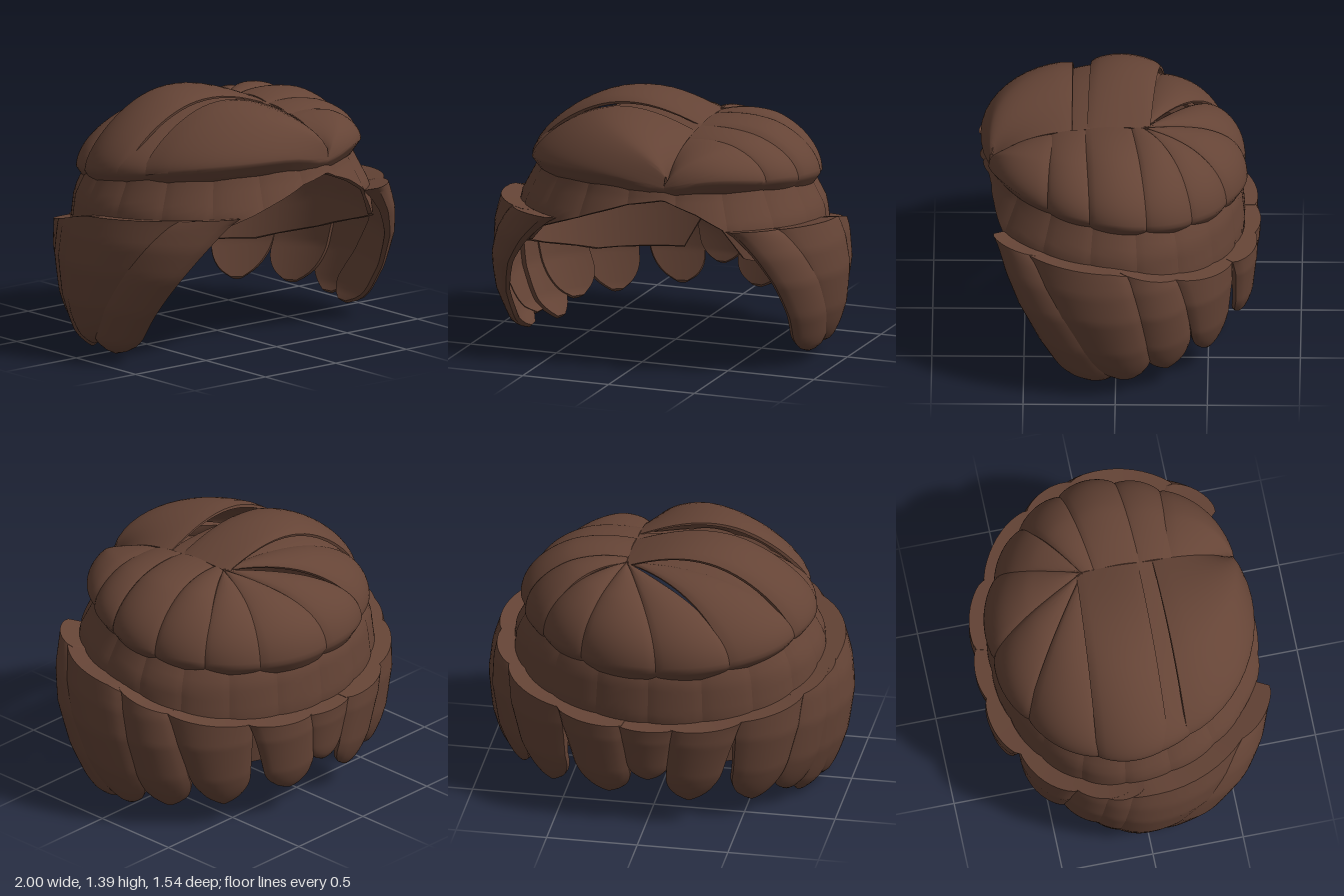
import * as THREE from 'three';
import { toCreasedNormals } from 'three/addons/utils/BufferGeometryUtils.js';

const { lerp } = THREE.MathUtils;
const RAD = Math.PI / 180;

// Linear interpolation through a short list of [key, value] pairs, keys rising
function table(list, k) {
  if (k <= list[0][0]) return list[0][1];
  for (let i = 1; i < list.length; i++) {
    const [k0, v0] = list[i - 1], [k1, v1] = list[i];
    if (k <= k1) return lerp(v0, v1, (k - k0) / (k1 - k0));
  }
  return list[list.length - 1][1];
}

// Point on an oval ring; azimuth in degrees, 0 = front, 90 = left side
function ring(deg, y, rx, front, back) {
  const s = Math.sin(deg * RAD), c = Math.cos(deg * RAD);
  return new THREE.Vector3(rx * s, y, rx * c * (c > 0 ? front : back));
}

// Closed curved slab: surface(u, s) is the inside, thickness pushes the outside out
function slab(surface, thickness, nu, ns) {
  const pos = [], idx = [], row = 2 * (nu + 1);
  for (let i = 0; i <= ns; i++) {
    const s = i / ns;
    for (let j = 0; j < row; j++) {
      const outer = j <= nu;
      const u = (outer ? j : row - 1 - j) / nu;
      const p = surface(u, s);
      if (outer) {
        const n = new THREE.Vector3(p.x, (p.y - 0.65) * 1.1, p.z).normalize();
        p.addScaledVector(n, thickness(u, s));
      }
      pos.push(p.x, p.y, p.z);
    }
  }
  for (let i = 0; i < ns; i++) {
    for (let j = 0; j < row; j++) {
      const a = i * row + j, b = i * row + (j + 1) % row;
      idx.push(a, a + row, b, b, a + row, b + row);
    }
  }
  const e = ns * row;
  for (let j = 0; j < nu; j++) {
    const m = row - 1 - j;
    idx.push(j, j + 1, m, j + 1, m - 1, m);
    idx.push(e + j, e + m, e + j + 1, e + j + 1, e + m, e + m - 1);
  }
  const g = new THREE.BufferGeometry();
  g.setAttribute('position', new THREE.Float32BufferAttribute(pos, 3));
  g.setIndex(idx);
  return toCreasedNormals(g, 0.75);
}

// Pillow profile across a lock, with a minimum edge thickness
const pillow = (u, edge) => edge + (1 - edge) * Math.pow(Math.max(0, Math.sin(Math.PI * u)), 0.6);

// Crown rim height, dipping where the parting meets the forehead
const rimY = (deg) => 0.965 + 0.095 * Math.cos(deg * RAD) - 0.04 * Math.exp(-(((deg - 14) / 14) ** 2));
const partY = (z) => (z < 0 ? 1.25 : 0.98 + 0.27 * Math.sqrt(Math.max(0, 1 - (z / 0.68) ** 2)));

// Crown lock: sweeps from the parting line (z0..z1) over to the rim (a0..a1), then curls under
function crownLock([a0, a1, z0, z1, lift, thick]) {
  const surface = (u, s) => {
    const a = lerp(a0, a1, u), z = lerp(z0, z1, u);
    const p = new THREE.Vector3(0.21, partY(z), z);
    const t = Math.min(1, s / 0.86), curl = Math.max(0, (s - 0.86) / 0.14);
    const q = ring(a, rimY(a), 0.765, 0.92, 0.87);
    const h = Math.sin(t * Math.PI / 2), tuck = 1 - 0.075 * curl;
    const rise = lift * (1 - (z / 0.8) ** 2) * Math.sin(Math.PI * h);
    return new THREE.Vector3(
      lerp(p.x, q.x, h) * tuck,
      lerp(q.y, p.y, Math.cos(t * Math.PI / 2)) + rise - 0.075 * curl,
      lerp(p.z, q.z, h) * tuck);
  };
  const thickness = (u, s) => thick * pillow(u, 0.3) * (0.35 + 0.65 * Math.min(1, s * 3));
  return slab(surface, thickness, 14, 28);
}

// Under band: lower edge follows the hairline at the front and splits at the nape
const hairline = [[-180, 0.5], [-172, 0.48], [-166, 0.33], [-130, 0.33], [-100, 0.42], [-48, 0.62],
  [-40, 0.72], [-15, 0.85], [0, 0.92], [15, 0.95], [28, 0.88], [38, 0.8], [46, 0.64], [100, 0.42],
  [130, 0.33], [166, 0.33], [172, 0.48], [180, 0.5]];
const bandRadius = [[0.33, 0.8], [0.6, 0.845], [0.8, 0.82], [0.95, 0.74], [1.05, 0.7]];
function bandPanel(a0, a1) {
  const surface = (u, s) => {
    const a = lerp(a0, a1, u);
    const y = lerp(rimY(a) + 0.02, table(hairline, a), s);
    return ring(a, y, table(bandRadius, y), 0.94, 0.8);
  };
  return slab(surface, (u) => 0.025 * pillow(u, 0.6), 10, 12);
}

// Hanging lock: top edge a0..a1, tip b0..b1 at height tipY; the top closes in on the band
const sideRadius = [[0, 0.77], [0.1, 0.84], [0.3, 0.905], [0.5, 0.93], [0.65, 0.915], [0.8, 0.87]];
const hangTop = (deg) => {
  const c = Math.cos(deg * RAD);
  return 0.755 + (c > 0 ? 0.05 : 0.18) * c;
};
function hangingLock([a0, a1, b0, b1, tipY, out, taper]) {
  const round = (s) => (s < taper ? 1 : Math.sqrt(Math.max(0.06, 1 - ((s - taper) / (1 - taper)) ** 2)));
  const inset = (s) => 0.055 * (1 - s) ** 4;
  const surface = (u, s) => {
    const t = 0.5 + (u - 0.5) * round(s);
    const a = lerp(lerp(a0, a1, t), lerp(b0, b1, t), Math.pow(s, 0.75));
    const y = lerp(hangTop(lerp(a0, a1, u)), tipY, s);
    return ring(a, y, table(sideRadius, y) + out - inset(s), 0.97, 0.77);
  };
  const thickness = (u, s) => 0.068 * pillow(u, 0.35) * (0.3 + 0.7 * round(s)) + inset(s);
  return slab(surface, thickness, 12, 28);
}

export function createModel() {
  const group = new THREE.Group();
  const brown = new THREE.MeshStandardMaterial({ color: 0x654436 });
  brown.name = 'brown hair';
  const add = (name, geometry) => {
    const mesh = new THREE.Mesh(geometry, brown);
    mesh.name = name;
    group.add(mesh);
  };

  // Crown: rim start, rim end, parting start, parting end, lift, thickness
  const crown = [
    [-70, 15, 0.24, 0.66, 0.13, 0.055],
    [-114, -66, -0.18, 0.26, 0.025, 0.035],
    [-112, -79, -0.18, 0.16, 0.115, 0.05],
    [-148, -110, -0.15, -0.14, 0.02, 0.045],
    [-178, -146, -0.15, -0.15, -0.02, 0.05],
    [150, 184, -0.15, -0.15, -0.025, 0.055],
    [126, 152, -0.15, -0.15, -0.005, 0.045],
    [103, 128, -0.08, -0.15, 0.02, 0.05],
    [78, 105, 0.17, -0.08, 0.015, 0.06],
    [58, 80, 0.36, 0.16, 0.01, 0.045],
    [15, 60, 0.66, 0.34, 0.02, 0.055],
  ];
  crown.forEach((c, i) => add(`crownLock${i + 1}`, crownLock(c)));

  // Under band all the way round
  for (let i = 0; i < 18; i++) {
    add(`underBandPanel${i + 1}`, bandPanel(-180 + i * 20, -160 + i * 20));
  }

  // Hanging layer: top start, top end, tip start, tip end, tip height, outward shift, taper start
  const hanging = [
    [40, 60, 71, 94, 0.05, 0, 0.82],
    [56, 96, 82, 108, 0.07, 0.008, 0.75],
    [92, 118, 103, 128, 0.1, -0.012, 0.7],
    [116, 150, 129, 149, 0.11, -0.01, 0.68],
    [148, 172, 156, 175, 0.15, 0.008, 0.68],
    [169, 191, 173, 187, 0.25, -0.012, 0.65],
    [188, 212, 186, 203, 0.13, 0.008, 0.68],
    [210, 240, 210, 230, 0.09, -0.01, 0.68],
    [236, 262, 227, 252, 0.08, -0.025, 0.7],
    [248, 268, 242, 266, 0.005, -0.015, 0.72],
    [259, 313, 252, 278, 0.05, 0.008, 0.75],
    [306, 329, 266, 289, 0.02, 0.012, 0.84],
  ];
  hanging.forEach((h, i) => add(`hangingLock${i + 1}`, hangingLock(h)));

  return group;
}
